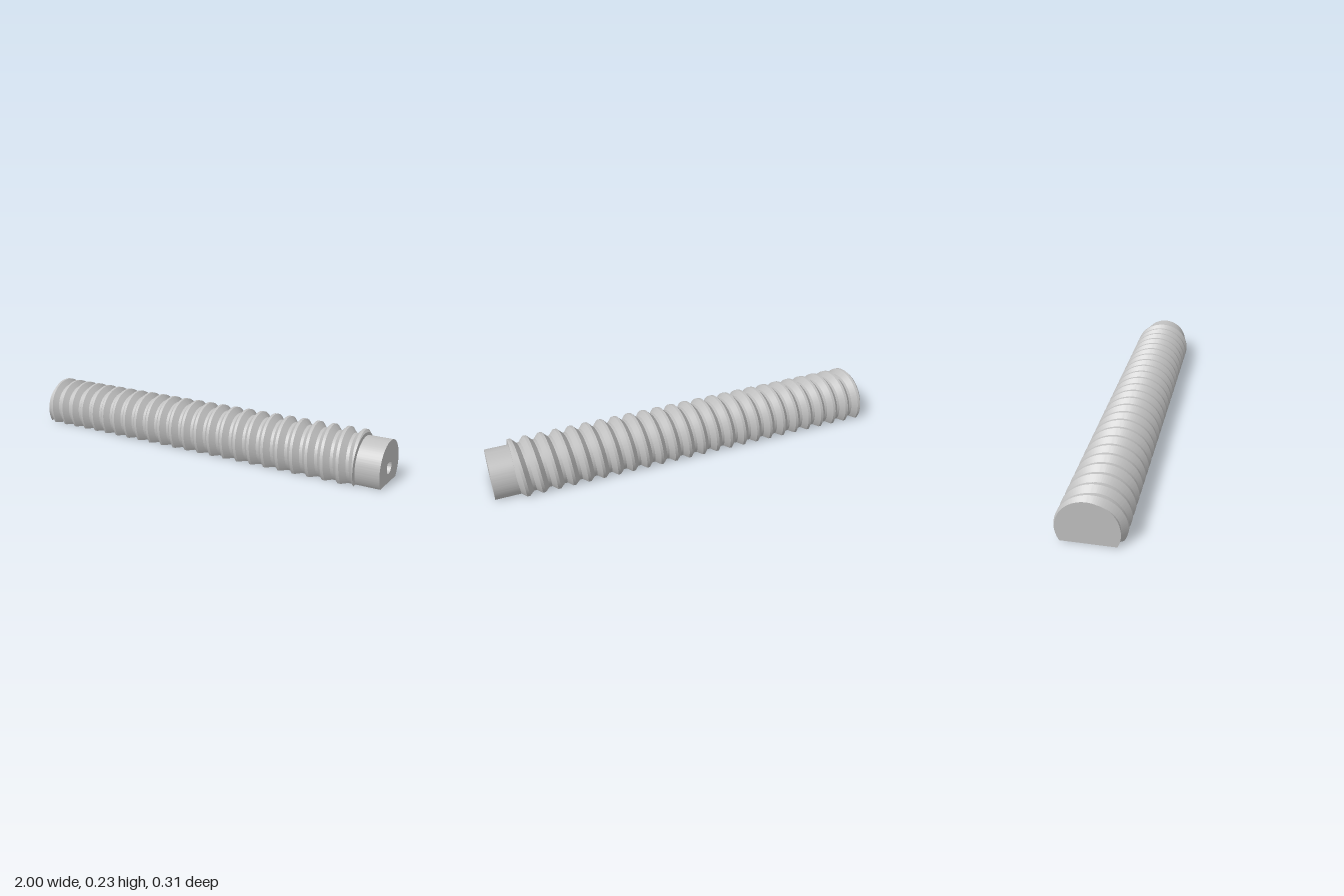
import * as THREE from 'three';
import { toCreasedNormals } from 'three/addons/utils/BufferGeometryUtils.js';

const AXIS = 0.077;                 // height of the screw axis above the flat underside
const ROOT = 0.127, CREST = 0.153;  // thread radii
const PITCH = 0.0767, PHASE = -0.972;
const X0 = -1, X1 = 0.885, TIP = 1; // thread start, thread end, neck end
const CREST_HALF = 0.007, ROOT_START = 0.031;
const SEG = 120;

// Thread radius at a signed distance along the axis from a crest
function threadRadius(s) {
  const dist = Math.abs(s - PITCH * Math.round(s / PITCH));
  const t = THREE.MathUtils.clamp((dist - CREST_HALF) / (ROOT_START - CREST_HALF), 0, 1);
  return CREST + (ROOT - CREST) * t;
}

// Helical rows follow the crest and root edges, are trimmed by the flat and clamped at both ends
function threadGeometry() {
  const profile = [[-CREST_HALF, CREST], [CREST_HALF, CREST], [ROOT_START, ROOT], [PITCH - ROOT_START, ROOT]];
  const pos = [], index = [];
  const axisRow = (x) => { for (let j = 0; j <= SEG; j++) pos.push(x, AXIS, 0); };
  axisRow(X0);
  for (let p = -2; p <= 26; p++) {
    for (const [offset, rowRadius] of profile) {
      for (let j = 0; j <= SEG; j++) {
        let r = rowRadius, x, angle;
        for (let i = 0; i < 8; i++) {
          angle = (2 * j / SEG - 1) * Math.acos(-AXIS / r);
          const lead = PHASE + PITCH * angle / (2 * Math.PI);
          const free = lead + p * PITCH + offset;
          x = THREE.MathUtils.clamp(free, X0, X1);
          r = x === free ? rowRadius : threadRadius(x - lead);
        }
        angle = (2 * j / SEG - 1) * Math.acos(-AXIS / r);
        pos.push(x, AXIS + r * Math.cos(angle), r * Math.sin(angle));
      }
    }
  }
  axisRow(X1);

  const n = SEG + 1, rows = pos.length / 3 / n;
  const point = (i) => new THREE.Vector3().fromArray(pos, i * 3);
  const addTriangle = (a, b, c) => {
    const area = new THREE.Triangle(point(a), point(b), point(c)).getArea();
    if (area > 1e-10) index.push(a, b, c);
  };
  for (let k = 0; k < rows - 1; k++) {
    for (let j = 0; j < n; j++) {   // the last step closes the flat underside
      const a = k * n + j, b = k * n + (j + 1) % n;
      addTriangle(a, b, b + n);
      addTriangle(a, b + n, a + n);
    }
  }
  const geometry = new THREE.BufferGeometry();
  geometry.setAttribute('position', new THREE.Float32BufferAttribute(pos, 3));
  geometry.setIndex(index);
  return toCreasedNormals(geometry, 0.5);
}

// Round outline with a pointed top
function teardrop(r, Type) {
  const path = new Type();
  path.moveTo(0, AXIS + r * Math.SQRT2);
  path.absarc(0, AXIS, r, Math.PI * 0.75, Math.PI * 2.25, false);
  path.closePath();
  return path;
}

// Extrude a cross-section along x
function extrudeAlongX(shape, from, to) {
  const geometry = new THREE.ExtrudeGeometry(shape, { depth: to - from, bevelEnabled: false, curveSegments: 64 });
  geometry.rotateY(Math.PI / 2).translate(from, 0, 0);
  return toCreasedNormals(geometry, 0.5);
}

export function createModel() {
  const model = new THREE.Group();
  model.name = 'threadedRod';
  const grey = new THREE.MeshStandardMaterial({ color: 0xc0c0c0 });
  grey.name = 'grey';
  const add = (name, geometry) => {
    const mesh = new THREE.Mesh(geometry, grey);
    mesh.name = name;
    model.add(mesh);
  };

  add('thread', threadGeometry());

  // Plain neck with a flat underside and a teardrop socket
  const neck = new THREE.Shape();
  const flat = Math.asin(AXIS / ROOT);
  neck.absarc(0, AXIS, ROOT, -flat, Math.PI + flat, false);
  neck.closePath();
  neck.holes.push(teardrop(0.032, THREE.Path));
  add('neck', extrudeAlongX(neck, X1, TIP));

  // Step inside the socket with a narrower hole
  const step = teardrop(0.032, THREE.Shape);
  step.holes.push(teardrop(0.02, THREE.Path));
  add('socketStep', extrudeAlongX(step, X1, 0.94));

  return model;
}
